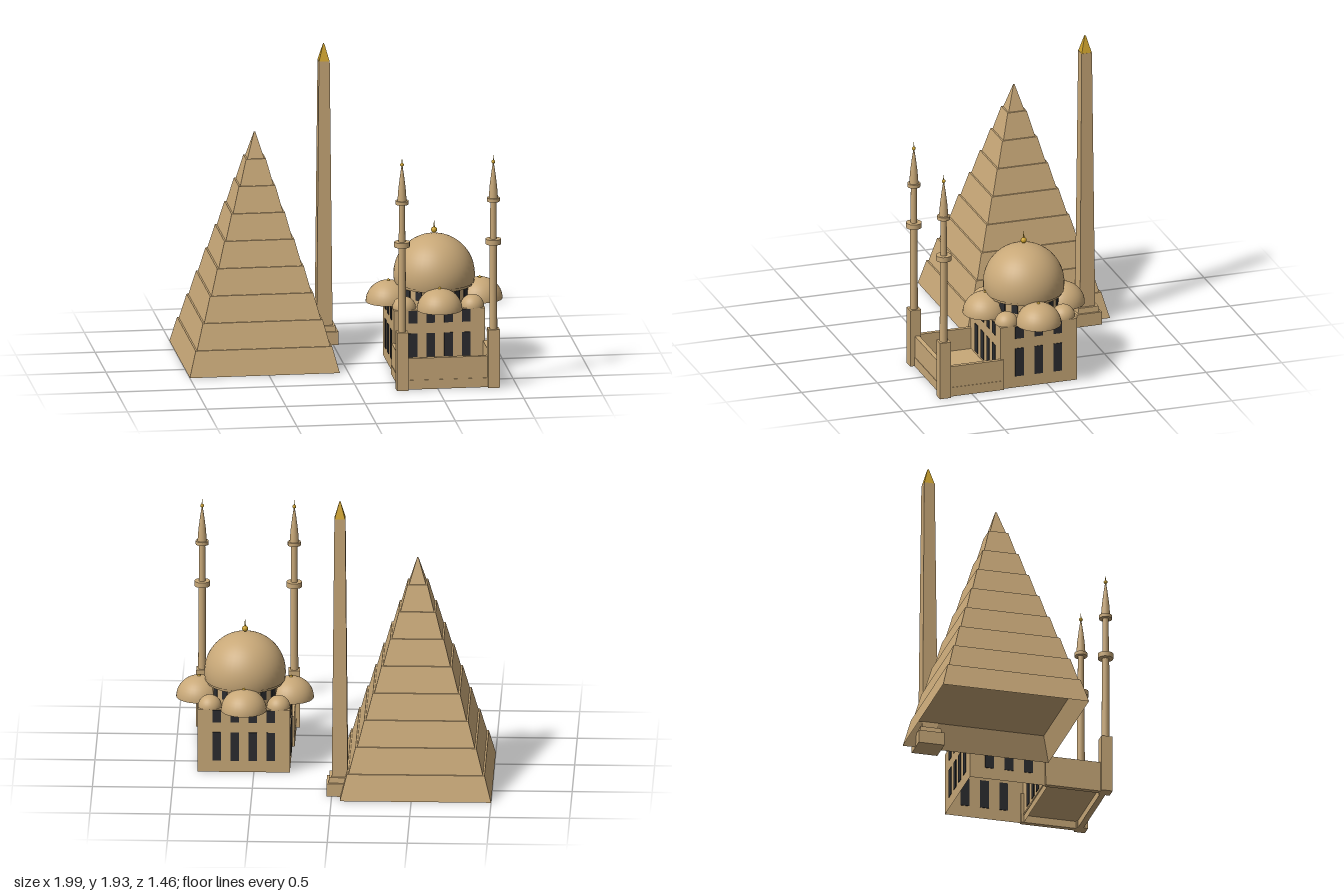
import * as THREE from 'three';

const sand = new THREE.MeshStandardMaterial({ color: 0xc8a878, side: THREE.DoubleSide });
sand.name = 'sandstone';
const gold = new THREE.MeshStandardMaterial({ color: 0xcca12c });
gold.name = 'gold';
const dark = new THREE.MeshStandardMaterial({ color: 0x2b2c2f });
dark.name = 'windowDark';

function add(parent, name, geo, mat, x = 0, y = 0, z = 0) {
  const mesh = new THREE.Mesh(geo, mat);
  mesh.name = name;
  mesh.position.set(x, y, z);
  parent.add(mesh);
  return mesh;
}

function group(parent, name, x = 0, z = 0) {
  const g = new THREE.Group();
  g.name = name;
  g.position.set(x, 0, z);
  parent.add(g);
  return g;
}

// Square block from y0 to y1 with bottom and top half widths, flat faces
function block(bottom, top, y0, y1, openBottom = false) {
  let geo = new THREE.CylinderGeometry(top * Math.SQRT2, bottom * Math.SQRT2, y1 - y0, 4);
  if (openBottom) geo.setIndex(Array.from(geo.index.array).slice(0, -12));
  geo.rotateY(Math.PI / 4);
  geo.translate(0, (y0 + y1) / 2, 0);
  geo = geo.toNonIndexed();
  geo.computeVertexNormals();
  return geo;
}

const box = (w, h, d) => new THREE.BoxGeometry(w, h, d);

function tube(r0, r1, y0, y1, sides = 24) {
  const geo = new THREE.CylinderGeometry(r1, r0, y1 - y0, sides);
  geo.translate(0, (y0 + y1) / 2, 0);
  return geo;
}

function halfDome(r, h) {
  const geo = new THREE.SphereGeometry(r, 32, 10, 0, Math.PI * 2, 0, Math.PI / 2);
  geo.scale(1, h / r, 1);
  return geo;
}

// Gold ball with a spike
function finial(parent, x, y, z, r, spike) {
  add(parent, 'finialBall', new THREE.SphereGeometry(r, 16, 12), gold, x, y, z);
  add(parent, 'finialSpike', tube(r * 0.35, 0.001, 0, spike, 8), gold, x, y, z);
}

function buildPyramid(root) {
  const g = group(root, 'pyramid', -0.527, -0.253);
  const tiers = 9, half = 0.473, step = 1.455 / tiers;
  for (let i = 0; i < tiers; i++) {
    const r0 = half * (1 - i / tiers);
    const r1 = i === tiers - 1 ? 0.004 : half * (1 - (i + 1) / tiers) + 0.01;
    add(g, 'pyramidTier' + (i + 1), block(r0, r1, i * step, (i + 1) * step, true), sand);
  }
}

function buildObelisk(root) {
  const g = group(root, 'obelisk', -0.05, -0.56);
  add(g, 'plinth', block(0.083, 0.083, 0, 0.085), sand);
  add(g, 'plinthStep', block(0.07, 0.066, 0.085, 0.12), sand);
  add(g, 'shaft', block(0.05, 0.034, 0.12, 1.82), sand);
  add(g, 'goldTip', block(0.033, 0.006, 1.82, 1.92), gold);
  add(g, 'goldPoint', block(0.006, 0.0005, 1.92, 1.932), gold);
}

function buildMinaret(parent, x, z) {
  const g = group(parent, 'minaret', x, z);
  add(g, 'minaretBase', block(0.036, 0.036, 0, 0.375), sand);
  add(g, 'lowerShaft', tube(0.025, 0.023, 0.375, 0.92, 16), sand);
  add(g, 'lowerGallery', tube(0.049, 0.049, 0.922, 0.955, 16), sand);
  add(g, 'upperShaft', tube(0.021, 0.019, 0.955, 1.2, 16), sand);
  add(g, 'upperGallery', tube(0.041, 0.041, 1.197, 1.22, 16), sand);
  const spire = [[0.029, 1.22], [0.023, 1.3], [0.013, 1.38], [0.004, 1.44]];
  add(g, 'spire', new THREE.LatheGeometry(spire.map(p => new THREE.Vector2(...p)), 16), sand);
  finial(g, 0, 1.452, 0, 0.012, 0.042);
}

function buildMosque(root) {
  const g = group(root, 'mosque', 0.563, 0.055);
  const hx = 0.288, hz = 0.253, top = 0.412;

  // Prayer hall, hollow underneath
  const hall = block(1, 1, 0, top, true);
  hall.scale(hx, 1, hz);
  add(g, 'prayerHall', hall, sand);

  // Two rows of windows: four on front and back, three on each side
  for (const [y0, y1] of [[0.075, 0.262], [0.328, 0.408]]) {
    const h = y1 - y0, y = (y0 + y1) / 2;
    for (const s of [-1, 1]) {
      for (let i = 0; i < 4; i++)
        add(g, 'hallWindow', box(0.054, h, 0.008), dark, (i - 1.5) * 0.112, y, s * hz);
      for (let i = 0; i < 3; i++)
        add(g, 'sideWindow', box(0.008, h, 0.057), dark, s * hx, y, (i - 1) * 0.126);
    }
  }

  // Drum with its ring of small windows
  add(g, 'drum', tube(0.217, 0.217, top, 0.525, 32), sand);
  add(g, 'drumCornice', tube(0.24, 0.245, 0.515, 0.537, 32), sand);
  for (let i = 0; i < 16; i++) {
    const a = (i + 0.5) / 16 * Math.PI * 2;
    const w = add(g, 'drumWindow', box(0.04, 0.055, 0.008), dark,
      Math.sin(a) * 0.217, 0.48, Math.cos(a) * 0.217);
    w.rotation.y = a;
  }

  // Main dome
  const dome = new THREE.SphereGeometry(0.255, 40, 16, 0, Math.PI * 2, 0, Math.PI * 0.56);
  add(g, 'mainDome', dome, sand, 0, 0.58, 0);
  finial(g, 0, 0.862, 0, 0.019, 0.06);

  // Side and corner domes
  for (const s of [-1, 1]) {
    for (const [x, z] of [[s * hx, 0], [0, s * hz]]) {
      add(g, 'sideDome', halfDome(0.143, 0.135), sand, x, top, z);
      finial(g, x, 0.546, z, 0.01, 0.014);
    }
    for (const t of [-1, 1])
      add(g, 'cornerDome', halfDome(0.074, 0.074), sand, s * 0.215, top, t * 0.188);
  }

  // Courtyard walls, footing and floor
  const z0 = 0.235, z1 = 0.63, len = z1 - z0, mid = (z0 + z1) / 2;
  for (const s of [-1, 1]) {
    add(g, 'courtSideWall', box(0.026, 0.2, len), sand, s * 0.287, 0.1, mid);
    add(g, 'courtSideFooting', box(0.032, 0.06, len), sand, s * 0.287, 0.03, mid);
    buildMinaret(g, s * 0.288, 0.627);
  }
  add(g, 'courtFrontWall', box(0.6, 0.2, 0.03), sand, 0, 0.1, 0.617);
  add(g, 'courtFrontFooting', box(0.6, 0.06, 0.036), sand, 0, 0.03, 0.617);
  add(g, 'courtFloor', box(0.56, 0.012, 0.37), sand, 0, 0.054, hz + 0.182);
}

export function createModel() {
  const root = new THREE.Group();
  root.name = 'monuments';
  buildPyramid(root);
  buildObelisk(root);
  buildMosque(root);
  return root;
}
